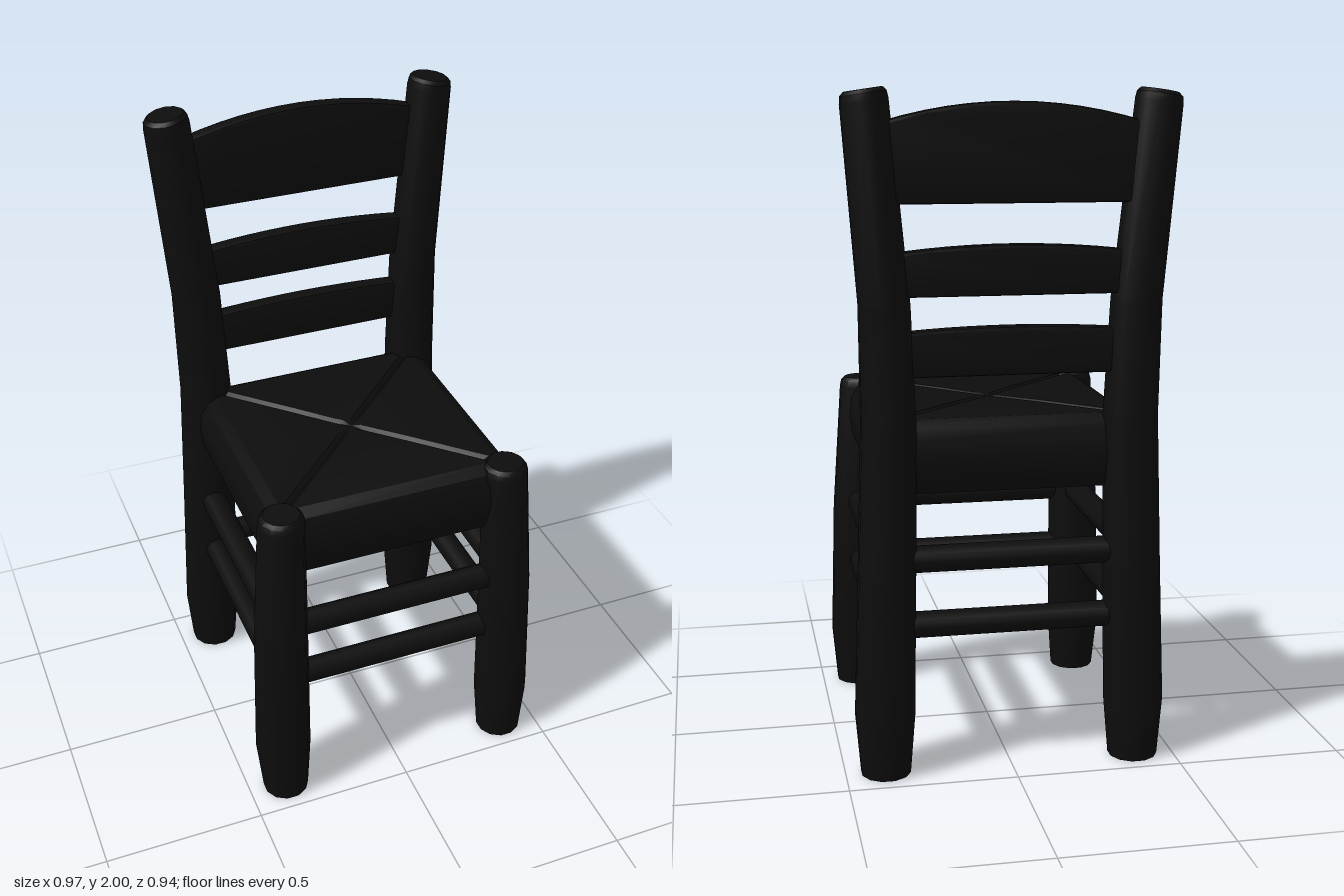
import * as THREE from 'three';
import { toCreasedNormals } from 'three/addons/utils/BufferGeometryUtils.js';

const material = new THREE.MeshStandardMaterial({ color: 0x0d0d0d });

function addPart(parent, name, geometry) {
  const mesh = new THREE.Mesh(geometry, material);
  mesh.name = name;
  parent.add(mesh);
  return mesh;
}

// Closed skin through rings of points, listed from bottom to top, with fan caps.
function loft(rings, crease) {
  const n = rings[0].length;
  const points = rings.flat();
  const index = [];
  for (let i = 0; i < rings.length - 1; i++) {
    for (let j = 0; j < n; j++) {
      const a = i * n + j, b = i * n + (j + 1) % n;
      index.push(a, a + n, b, b, a + n, b + n);
    }
  }
  const capCentre = ring => ring.reduce((s, p) => s.add(p), new THREE.Vector3()).divideScalar(n);
  const last = (rings.length - 1) * n;
  const bottom = points.push(capCentre(rings[0])) - 1;
  const top = points.push(capCentre(rings[rings.length - 1])) - 1;
  for (let j = 0; j < n; j++) {
    const k = (j + 1) % n;
    index.push(bottom, j, k, top, last + k, last + j);
  }
  const geometry = new THREE.BufferGeometry().setFromPoints(points);
  geometry.setIndex(index);
  return toCreasedNormals(geometry, crease);
}

// Turned leg; each station is [x, y, z, radius, tilt], side mirrors it in x.
function legGeometry(stations, side) {
  const sides = 12;
  return loft(stations.map(([x, y, z, r, tilt = 0]) =>
    Array.from({ length: sides }, (_, j) => {
      const a = (j + 0.5) / sides * Math.PI * 2;
      const dx = r * Math.cos(a);
      return new THREE.Vector3(side * x + dx, y - side * tilt * dx, z + r * Math.sin(a));
    })), 0.6);
}

// Cushion of square rings [half size, height, groove depth at the corners].
function seatGeometry() {
  const profile = [
    [0.30, 0.84, 0], [0.375, 0.845, 0], [0.393, 0.88, 0], [0.402, 0.94, 0],
    [0.396, 1.0, 0], [0.378, 1.04, 0.006], [0.345, 1.06, 0.012],
    [0.15, 1.06, 0.012], [0.03, 1.058, 0.01],
  ];
  const corners = [[1, -1], [1, 1], [-1, 1], [-1, -1]];
  return loft(profile.map(([h, y, groove]) => {
    const ring = [];
    corners.forEach(([cx, cz], k) => {
      const [nx, nz] = corners[(k + 1) % 4];
      const w = 0.018 / (2 * h);
      for (const t of [0, w, 1 - w]) {
        ring.push(new THREE.Vector3(
          h * (cx + (nx - cx) * t), y - (t === 0 ? groove : 0), h * (cz + (nz - cz) * t)));
      }
    });
    return ring;
  }), 0.5);
}

// Back slat with an arched upper edge and softened rims.
function slatGeometry(bottom, end, middle) {
  const half = 0.37, bevel = 0.01, thickness = 0.05;
  const shape = new THREE.Shape();
  shape.moveTo(-half, bottom + bevel);
  shape.lineTo(half, bottom + bevel);
  shape.lineTo(half, end - bevel);
  shape.quadraticCurveTo(0, 2 * middle - end - bevel, -half, end - bevel);
  const geometry = new THREE.ExtrudeGeometry(shape, {
    depth: thickness - 2 * bevel, curveSegments: 12,
    bevelEnabled: true, bevelSize: bevel, bevelThickness: bevel, bevelSegments: 2,
  });
  geometry.translate(0, 0, bevel - thickness / 2);
  return toCreasedNormals(geometry, 0.6);
}

export function createModel() {
  const chair = new THREE.Group();
  chair.name = 'chair';

  // Legs, the rear pair rising into splayed back posts
  const front = [
    [0.38, 0, 0.395, 0.072], [0.382, 0.18, 0.388, 0.087], [0.374, 0.62, 0.379, 0.082],
    [0.358, 1.035, 0.366, 0.07], [0.357, 1.055, 0.365, 0.066], [0.357, 1.066, 0.365, 0.055],
  ];
  const rear = [
    [0.38, 0, -0.387, 0.075], [0.38, 0.18, -0.384, 0.09], [0.368, 0.62, -0.378, 0.086],
    [0.358, 1.06, -0.375, 0.081], [0.367, 1.4, -0.385, 0.075],
    [0.417, 1.96, -0.403, 0.068, 0.15], [0.419, 1.98, -0.403, 0.065, 0.15],
    [0.419, 1.991, -0.403, 0.054, 0.15],
  ];
  for (const side of [1, -1]) {
    const word = side > 0 ? 'left' : 'right';
    addPart(chair, word + 'FrontLeg', legGeometry(front, side));
    addPart(chair, word + 'BackPost', legGeometry(rear, side));
  }

  // Woven seat with diagonal seams
  addPart(chair, 'seat', seatGeometry());

  // Back slats: [bottom, end top, middle top, z]
  const slats = [
    [1.19, 1.315, 1.332, -0.382], [1.42, 1.54, 1.565, -0.391], [1.68, 1.905, 1.96, -0.406],
  ];
  for (const [bottom, end, middle, z] of slats) {
    addPart(chair, 'backSlat', slatGeometry(bottom, end, middle)).position.z = z;
  }

  // Two rungs on each of the four sides
  for (const [y, r] of [[0.45, 0.039], [0.65, 0.04]]) {
    for (const s of [1, -1]) {
      const across = addPart(chair, s > 0 ? 'frontRung' : 'backRung',
        new THREE.CylinderGeometry(r, r, 0.74, 10));
      across.rotation.z = Math.PI / 2;
      across.position.set(0, y, s * 0.378);
      const along = addPart(chair, s > 0 ? 'leftRung' : 'rightRung',
        new THREE.CylinderGeometry(r, r, 0.74, 10));
      along.rotation.x = Math.PI / 2;
      along.position.set(s * 0.372, y, 0);
    }
  }
  return chair;
}
